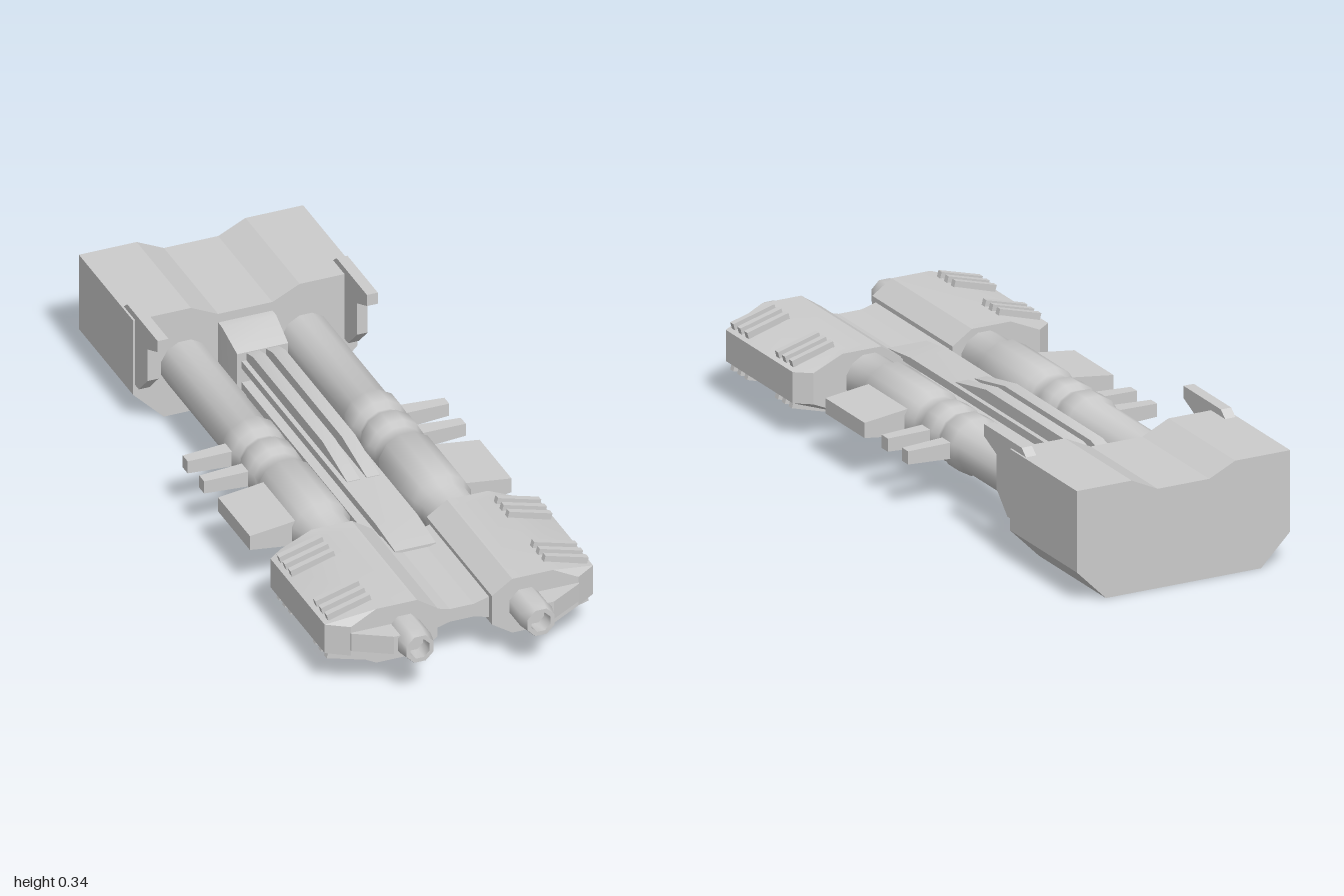
import * as THREE from 'three';
import { toCreasedNormals, mergeVertices } from 'three/addons/utils/BufferGeometryUtils.js';

const material = new THREE.MeshStandardMaterial({ color: 0xcccccc });
const AXIS_Y = 0.155, BARREL_X = 0.178;

function add(parent, name, geometry, x = 0, y = 0, z = 0) {
  const mesh = new THREE.Mesh(geometry, material);
  mesh.name = name;
  mesh.position.set(x, y, z);
  parent.add(mesh);
  return mesh;
}

// Closed solid through rings of [x, y, z]; rings run counter-clockwise seen from +z, z rising.
function loft(rings) {
  const n = rings[0].length, index = [];
  for (let r = 0; r < rings.length - 1; r++) {
    for (let i = 0; i < n; i++) {
      const a = r * n + i, b = r * n + (i + 1) % n;
      index.push(a, b, b + n, a, b + n, a + n);
    }
  }
  const last = (rings.length - 1) * n;
  for (let i = 1; i < n - 1; i++) {
    index.push(0, i + 1, i, last, last + i, last + i + 1);
  }
  const geometry = new THREE.BufferGeometry();
  geometry.setAttribute('position', new THREE.Float32BufferAttribute(rings.flat(2), 3));
  geometry.setIndex(index);
  return toCreasedNormals(geometry, 0.5);
}

const rect = (x0, x1, y0, y1, z) => [[x0, y0, z], [x1, y0, z], [x1, y1, z], [x0, y1, z]];

// Outline in x, y drawn out along z from z0 to z1.
function prism(points, z0, z1) {
  const shape = new THREE.Shape(points.map(([x, y]) => new THREE.Vector2(x, y)));
  return new THREE.ExtrudeGeometry(shape, { depth: z1 - z0, bevelEnabled: false }).translate(0, 0, z0);
}

// Profile of [radius, z] turned about the z axis.
function turned(profile, sides) {
  const points = profile.map(([r, z]) => new THREE.Vector2(r, z));
  const geometry = new THREE.LatheGeometry(points, sides).rotateY(Math.PI / sides).rotateX(Math.PI / 2);
  geometry.deleteAttribute('normal');
  geometry.deleteAttribute('uv');
  return toCreasedNormals(mergeVertices(geometry), 0.85);
}

function buildSide() {
  const side = new THREE.Group();

  // Long tube with two rings and a sleeve
  add(side, 'barrel', turned([
    [0.073, -0.65], [0.073, -0.19], [0.083, -0.17], [0.083, -0.11], [0.07, -0.085],
    [0.07, -0.075], [0.083, -0.055], [0.083, 0], [0.073, 0.02], [0.073, 0.055],
    [0.086, 0.075], [0.086, 0.32], [0.073, 0.345], [0.073, 0.46]], 12), BARREL_X, AXIS_Y);

  // Front pod, its outer edge chamfered at both ends
  const outline = [[0.08, 0.2], [0.08, 0.11], [0.14, 0.07], [0.26, 0.07],
    [0.395, 0.11], [0.395, 0.2], [0.26, 0.24], [0.14, 0.24]];
  const podRing = (outer, z) => outline.map(([x, y]) => [Math.min(x, outer), y, z]);
  add(side, 'pod', loft([podRing(0.35, 0.44), podRing(0.395, 0.475), podRing(0.395, 0.85), podRing(0.335, 0.89)]));

  // Hollow muzzle and the wedge beside it
  add(side, 'muzzle', turned([
    [0.05, 0.87], [0.05, 0.965], [0.043, 1], [0.03, 1], [0.03, 0.93], [0, 0.93]], 8), BARREL_X, AXIS_Y);
  add(side, 'muzzleWedge', loft([rect(0.14, 0.34, 0.127, 0.182, 0.88),
    rect(0.14, 0.335, 0.127, 0.182, 0.895), rect(0.14, 0.235, 0.127, 0.182, 0.955)]));

  // Cooling slats on the sloping faces
  for (const start of [0.505, 0.755]) {
    for (let i = 0; i < 3; i++) {
      for (const up of [1, -1]) {
        const slat = add(side, 'slat', new THREE.BoxGeometry(0.132, 0.024, 0.018),
          0.319, AXIS_Y + up * 0.074, start + i * 0.039);
        slat.rotation.z = -up * 0.27;
      }
    }
  }

  // Tapered spikes beside the rings
  for (const z of [-0.137, -0.023]) {
    const spike = loft([rect(-0.024, 0.024, -0.024, 0.024, 0), rect(-0.017, 0.017, -0.019, 0.019, 0.145)]);
    add(side, 'spike', spike.rotateY(Math.PI / 2), 0.24, AXIS_Y, z);
  }

  // Flat vane beside the sleeve
  const vane = loft([rect(-0.11, 0.11, -0.04, 0.04, 0), rect(-0.11, 0.11, -0.022, 0.022, 0.145)]);
  add(side, 'vane', vane.rotateY(Math.PI / 2), 0.24, AXIS_Y, 0.2);

  // Upright fin on the rear housing; profile is [-z, y]
  const fin = prism([[0.47, 0.31], [0.54, 0.28], [0.54, 0.18], [0.6, 0.12], [0.64, 0.12],
    [0.71, 0.32], [0.68, 0.345], [0.47, 0.345]], -0.016, 0.016);
  add(side, 'fin', fin.rotateY(Math.PI / 2), 0.308);
  return side;
}

export function createModel() {
  const model = new THREE.Group();
  model.name = 'twinBarrelCannon';

  // Rear housing with a dip along its top
  add(model, 'rearHousing', prism([[-0.24, 0], [0.24, 0], [0.33, 0.09], [0.33, 0.325], [0.16, 0.325],
    [0.08, 0.287], [-0.08, 0.287], [-0.16, 0.325], [-0.33, 0.325], [-0.33, 0.09]], -1, -0.625));

  // Socket that holds the middle rails
  add(model, 'railSocket', loft([rect(-0.08, 0.08, 0.04, 0.26, -0.64),
    rect(-0.08, 0.08, 0.04, 0.26, -0.6), rect(-0.075, 0.075, 0.085, 0.225, -0.505)]));

  // Waisted bridge between the pods
  add(model, 'podBridge', prism([[-0.09, 0.12], [-0.035, 0.135], [0.035, 0.135], [0.09, 0.12],
    [0.09, 0.19], [0.035, 0.175], [-0.035, 0.175], [-0.09, 0.19]], 0.46, 0.87));

  // Blades and paired rails, above and below the middle
  for (const up of [1, -1]) {
    const name = up > 0 ? 'upper' : 'lower';
    const band = (x0, x1, a, b, z) =>
      rect(x0, x1, AXIS_Y + Math.min(up * a, up * b), AXIS_Y + Math.max(up * a, up * b), z);
    add(model, name + 'Blade', loft([band(-0.062, 0.062, 0.022, 0.045, -0.52),
      band(-0.062, 0.062, 0.022, 0.045, 0.42), band(-0.06, 0.06, 0.022, 0.03, 0.55)]));
    for (const s of [1, -1]) {
      const x = s * 0.029;
      add(model, name + 'Rail', loft([band(x - 0.019, x + 0.019, 0.03, 0.055, -0.55),
        band(x - 0.019, x + 0.019, 0.03, 0.08, -0.46), band(x - 0.019, x + 0.019, 0.03, 0.08, 0.02),
        band(x - 0.019, x + 0.019, 0.03, 0.047, 0.19)]));
    }
  }

  // The two matching sides
  const left = buildSide();
  left.name = 'leftSide';
  const right = buildSide();
  right.name = 'rightSide';
  right.scale.x = -1;
  model.add(left, right);
  return model;
}
